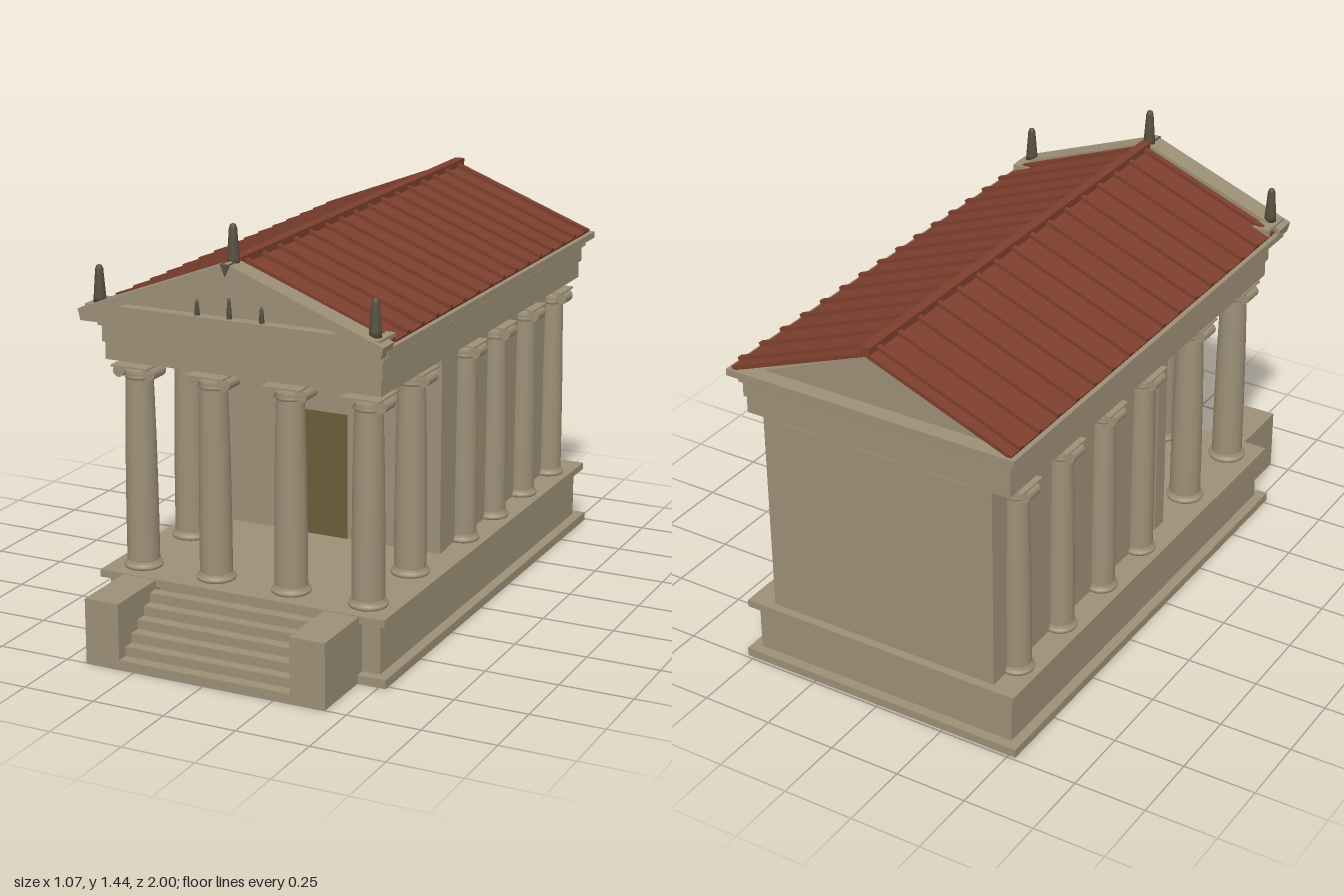
import * as THREE from 'three';

const mat = (color) => new THREE.MeshStandardMaterial({ color, side: THREE.DoubleSide });

export function createModel() {
  const root = new THREE.Group();
  root.name = 'temple';
  const stone = mat(0x9c8f76), red = mat(0x7d3f2e), doorMat = mat(0x6b5d3a), bronze = mat(0x575040);

  const add = (name, geo, material = stone, parent = root) => {
    const m = new THREE.Mesh(geo, material);
    m.name = name;
    parent.add(m);
    return m;
  };
  // box given by its min/max on each axis
  const box = (name, x0, x1, y0, y1, z0, z1, material, parent) => {
    const m = add(name, new THREE.BoxGeometry(x1 - x0, y1 - y0, z1 - z0), material, parent);
    m.position.set((x0 + x1) / 2, (y0 + y1) / 2, (z0 + z1) / 2);
    return m;
  };
  const lathe = (pts, n = 24) => new THREE.LatheGeometry(pts.map((p) => new THREE.Vector2(...p)), n);
  const shape = (pts) => new THREE.Shape(pts.map((p) => new THREE.Vector2(...p)));
  const slab = (s, z0, z1) =>
    new THREE.ExtrudeGeometry(s, { depth: z1 - z0, bevelEnabled: false }).translate(0, 0, z0);

  // podium
  box('podiumPlinth', -0.525, 0.525, 0, 0.03, -0.99, 0.77);
  box('podiumBody', -0.49, 0.49, 0.03, 0.2, -0.955, 0.735);
  box('podiumCap', -0.515, 0.515, 0.2, 0.225, -0.985, 0.76);

  // staircase, open underneath, between two cheek blocks
  for (let i = 0; i < 6; i++) {
    const y = (i + 1) * 0.032, z = 1 - i * 0.04;
    add('riser', new THREE.PlaneGeometry(0.61, 0.032)).position.set(0, y - 0.016, z);
    const tread = add('tread', new THREE.PlaneGeometry(0.61, 0.04).rotateX(-Math.PI / 2));
    tread.position.set(0, y, z - 0.02);
  }
  for (const s of [-1, 1]) {
    const cheek = box('stairCheek', -0.061, 0.061, 0, 0.222, 0.735, 1);
    cheek.position.x = s * 0.366;
  }

  // cella with a slightly wider front end, and the door
  box('cella', -0.425, 0.425, 0.225, 0.94, -0.955, 0.08);
  box('cellaFront', -0.43, 0.43, 0.225, 0.94, 0.08, 0.14);
  box('door', -0.087, 0.087, 0.225, 0.665, 0.12, 0.143, doorMat);

  // columns: base, tapering shaft and scrolled capital
  const baseGeo = lathe([[0, 0], [0.064, 0], [0.066, 0.006], [0.064, 0.012], [0.057, 0.014],
    [0.058, 0.02], [0.054, 0.024], [0, 0.024]]);
  const shaftGeo = lathe([[0.054, 0.02], [0.0535, 0.2], [0.051, 0.42], [0.047, 0.6], [0.045, 0.65]]);
  const neckGeo = lathe([[0.045, 0.645], [0.049, 0.65], [0.049, 0.656], [0.046, 0.66], [0.051, 0.689], [0, 0.689]]);
  const voluteGeo = new THREE.CylinderGeometry(0.021, 0.021, 0.076, 18).rotateX(Math.PI / 2);
  const eyeGeo = new THREE.CylinderGeometry(0.008, 0.008, 0.082, 10).rotateX(Math.PI / 2);
  function column(x, z, w) {
    const g = new THREE.Group();
    g.name = 'column';
    add('columnBase', baseGeo, stone, g);
    add('columnShaft', shaftGeo, stone, g);
    add('columnNeck', neckGeo, stone, g);
    box('capitalCushion', -0.056, 0.056, 0.673, 0.689, -0.036, 0.036, stone, g);
    for (const s of [-1, 1]) {
      add('volute', voluteGeo, stone, g).position.set(s * 0.056, 0.668, 0);
      add('voluteEye', eyeGeo, stone, g).position.set(s * 0.056, 0.668, 0);
    }
    box('abacus', -0.067, 0.067, 0.689, 0.695, -0.067, 0.067, stone, g);
    g.position.set(x, 0.225, z);
    g.scale.set(w, 1, w);
    root.add(g);
  }
  for (const x of [-0.41, -0.137, 0.137, 0.41]) column(x, 0.655, 1);
  for (const s of [-1, 1]) {
    column(s * 0.41, 0.335, 1);
    for (const z of [-0.04, -0.3, -0.565, -0.83]) column(s * 0.435, z, 0.87);
  }

  // entablature
  box('architrave', -0.488, 0.488, 0.94, 1.0, -0.953, 0.733);
  box('frieze', -0.495, 0.495, 1.0, 1.055, -0.96, 0.74);
  box('dentilBed', -0.505, 0.505, 1.055, 1.082, -0.97, 0.75);
  box('cornice', -0.53, 0.53, 1.082, 1.105, -0.995, 0.78);

  // dentils on all four sides
  const dentils = [];
  for (let i = 0; i < 34; i++) {
    const x = -0.49 + (i * 0.98) / 33;
    dentils.push([x, 0.746], [x, -0.966]);
  }
  for (let i = 0; i < 58; i++) {
    const z = -0.955 + (i * 1.69) / 57;
    dentils.push([0.501, z], [-0.501, z]);
  }
  const dentilMesh = new THREE.InstancedMesh(new THREE.BoxGeometry(0.016, 0.016, 0.016), stone, dentils.length);
  dentilMesh.name = 'dentils';
  dentils.forEach(([x, z], i) => dentilMesh.setMatrixAt(i, new THREE.Matrix4().makeTranslation(x, 1.07, z)));
  root.add(dentilMesh);

  // front pediment: frame, recessed field and small figures
  const frame = shape([[-0.525, 1.085], [0.525, 1.085], [0.535, 1.122], [0, 1.325], [-0.535, 1.122]]);
  frame.holes.push(shape([[-0.385, 1.145], [0, 1.285], [0.385, 1.145]]));
  add('pedimentFrame', slab(frame, 0.742, 0.818));
  add('pedimentField', slab(shape([[-0.4, 1.14], [0.4, 1.14], [0, 1.29]]), 0.746, 0.78));
  for (const [x, h] of [[-0.113, 0.048], [0, 0.065], [0.113, 0.048]]) {
    add('pedimentFigure', lathe([[0, 0], [0.009, 0], [0.006, h * 0.8], [0.004, h], [0, h]], 10), bronze)
      .position.set(x, 1.145, 0.797);
  }
  // rear gable wall, set back under the roof
  add('rearGable', slab(shape([[-0.42, 1.105], [0.42, 1.105], [0, 1.28]]), -0.94, -0.92));

  // tiled roof: two slopes hinged at the ridge
  const run = 0.516, rise = 0.2, angle = Math.atan2(rise, run), len = Math.hypot(run, rise);
  for (const s of [-1, 1]) {
    const slope = new THREE.Group();
    slope.name = 'roofSlope';
    const x0 = s < 0 ? -len : 0, x1 = x0 + len;
    box('roofSheet', x0, x1, -0.014, 0, -0.985, 0.745, red, slope);
    for (let i = 0; i < 16; i++) {
      const z = 0.71 - i * 0.1097;
      box('tileRib', x0, x1, 0, 0.013, z - 0.009, z + 0.009, red, slope);
    }
    slope.position.y = 1.313;
    slope.rotation.z = -s * angle;
    root.add(slope);
  }
  box('ridgeCap', -0.017, 0.017, 1.303, 1.331, -0.988, 0.745, red);

  // roof ornaments on the corners and the apex
  const spike = lathe([[0, 0], [0.021, 0], [0.02, 0.02], [0.016, 0.07], [0.013, 0.108],
    [0.009, 0.119], [0, 0.123]], 14);
  for (const s of [-1, 1]) {
    const foot = box('cornerOrnamentBase', -0.045, 0.045, 1.105, 1.138, 0.69, 0.805);
    foot.position.x = s * 0.47;
    add('cornerOrnament', spike, bronze).position.set(s * 0.483, 1.138, 0.765);
  }
  add('apexOrnamentBase', slab(shape([[0, 1.285], [0.016, 1.322], [-0.016, 1.322]]), 0.74, 0.824), bronze);
  const apex = add('apexOrnament', spike, bronze);
  apex.position.set(0, 1.31, 0.765);
  apex.scale.y = 1.07;

  return root;
}
